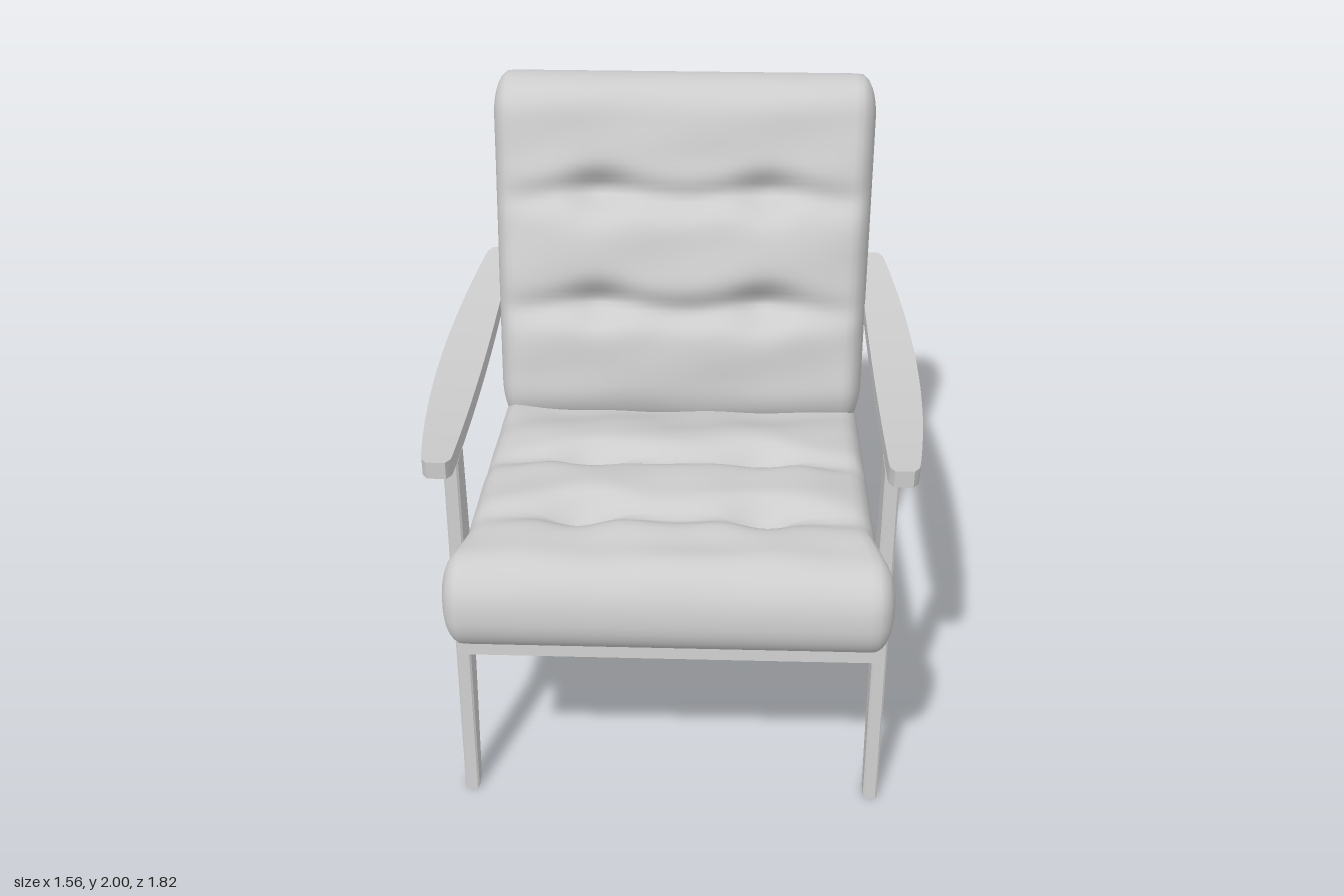
import * as THREE from 'three';
import { mergeVertices } from 'three/addons/utils/BufferGeometryUtils.js';

const grey = new THREE.MeshStandardMaterial({ color: 0xcccccc });
grey.name = 'plain grey';

const { clamp, smoothstep } = THREE.MathUtils;

function add(parent, name, geometry, x = 0, y = 0, z = 0, rx = 0) {
  const mesh = new THREE.Mesh(geometry, grey);
  mesh.name = name;
  mesh.position.set(x, y, z);
  mesh.rotation.x = rx;
  parent.add(mesh);
  return mesh;
}

const box = (w, h, d) => new THREE.BoxGeometry(w, h, d);

// Move every vertex of a geometry by a rule, then recompute its normals
function reshape(geometry, rule, smooth) {
  if (smooth) {
    geometry.deleteAttribute('uv');
    geometry.deleteAttribute('normal');
    geometry = mergeVertices(geometry);
  }
  const p = geometry.attributes.position, v = new THREE.Vector3();
  for (let i = 0; i < p.count; i++) {
    v.fromBufferAttribute(p, i);
    rule(v);
    p.setXYZ(i, v.x, v.y, v.z);
  }
  geometry.computeVertexNormals();
  return geometry;
}

// Stuffed cushion: rounded slab, +y is the soft face, creased and button-tufted along z.
// heel is the radius of the lower edge at the -z end.
function cushion({ width, thick, length, heel, creases, widthAt, bulge }) {
  const half = [width / 2, thick / 2, length / 2];
  const bell = (d, s) => Math.exp(-(d * d) / (s * s));
  return reshape(new THREE.BoxGeometry(width, thick, length, 52, 12, 56), (v) => {
    const q = v.toArray();
    const r = q[1] < 0 && q[2] < 0 ? heel : thick * 0.46;
    const radius = [0.06, r, r];
    const inner = q.map((c, i) => clamp(c, radius[i] - half[i], half[i] - radius[i]));
    const d = new THREE.Vector3(...q.map((c, i) => (c - inner[i]) / radius[i])).normalize();
    v.set(inner[0] + d.x * radius[0], inner[1] + d.y * radius[1], inner[2] + d.z * radius[2]);
    const face = smoothstep(v.y, 0, half[1]);
    const fade = 1 - Math.pow(Math.abs(v.x) / half[0], 4);
    let rise = bulge(v.z) * fade;
    for (const c of creases) {
      const curve = c + 0.015 * Math.cos(v.x * 11);
      rise -= fade * 0.045 * bell(v.z - curve, 0.05);
      for (const bx of [-0.28, 0.28]) rise -= 0.055 * bell(v.x - bx, 0.09) * bell(v.z - c, 0.07);
    }
    rise += 0.005 * Math.sin(v.x * 13 + v.z * 7) * Math.sin(v.z * 17 - v.x * 5);
    v.y += rise * face;
    v.x *= widthAt(v.z);
  }, true);
}

// Flat side piece cut from a board; the outline's first coordinate runs towards the back
function sideBoard(outline) {
  const g = new THREE.ExtrudeGeometry(outline, {
    depth: 0.034, curveSegments: 8, bevelEnabled: true,
    bevelThickness: 0.006, bevelSize: 0.006, bevelOffset: -0.006, bevelSegments: 1,
  });
  return g.translate(0, 0, -0.017).rotateY(Math.PI / 2);
}

// Front leg with the short lap that overlies the seat rail
function frontLegOutline() {
  const s = new THREE.Shape();
  s.moveTo(-0.65, 0);
  s.lineTo(-0.587, 0);
  s.lineTo(-0.52, 0.45);
  s.quadraticCurveTo(-0.5, 0.575, -0.37, 0.57);
  s.lineTo(-0.345, 0.69);
  s.quadraticCurveTo(-0.455, 0.72, -0.455, 0.82);
  s.lineTo(-0.46, 1.23);
  s.lineTo(-0.56, 1.23);
  s.lineTo(-0.6, 0.65);
  s.closePath();
  return s;
}

// Seat rail and back leg in one piece
function railAndBackLegOutline() {
  const s = new THREE.Shape();
  s.moveTo(-0.55, 0.59);
  s.lineTo(-0.4, 0.57);
  s.lineTo(0.6, 0.435);
  s.quadraticCurveTo(0.69, 0.42, 0.72, 0.33);
  s.lineTo(0.847, 0);
  s.lineTo(0.9, 0);
  s.lineTo(0.635, 1.23);
  s.lineTo(0.49, 1.23);
  s.lineTo(0.625, 0.7);
  s.quadraticCurveTo(0.64, 0.61, 0.57, 0.615);
  s.lineTo(-0.35, 0.695);
  s.lineTo(-0.55, 0.715);
  s.closePath();
  return s;
}

// Armrest: straight inside, bowed outside, dipping in the middle, rounded at both ends
function armrest() {
  return reshape(new THREE.BoxGeometry(1, 0.055, 1.495, 2, 1, 60), (v) => {
    const t = v.z / 0.7475;
    const tip = 0.014 * Math.pow(Math.max(0, Math.abs(t) - 0.95) / 0.05, 2);
    const inside = 0.636 + 0.02 * smoothstep(-t, 0.7, 1) + tip;
    const outside = 0.782 - 0.062 * t * t - tip;
    v.x = inside + (v.x + 0.5) * (outside - inside);
    v.y += 1.222 + 0.048 * t * t;
    v.z -= 0.07;
  });
}

export function createModel() {
  const chair = new THREE.Group();
  chair.name = 'armchair';

  // Wooden sides and arms
  for (const side of [1, -1]) {
    const label = side > 0 ? 'left' : 'right';
    add(chair, label + 'FrontLeg', sideBoard(frontLegOutline()), side * 0.658);
    add(chair, label + 'RailAndBackLeg', sideBoard(railAndBackLegOutline()), side * 0.613);
    add(chair, label + 'Armrest', armrest()).scale.x = side;
  }

  // Cross rails
  const frontRail = reshape(new THREE.BoxGeometry(1.27, 0.11, 0.045, 20, 1, 1), (v) => {
    if (v.y < 0) v.y -= 0.012 * Math.cos(v.x * 2.5);
  });
  add(chair, 'frontRail', frontRail, 0, 0.588, 0.515);
  add(chair, 'backStretcher', box(1.2, 0.1, 0.045), 0, 0.46, -0.68, 0.2);
  add(chair, 'rearSeatRail', box(1.2, 0.075, 0.05), 0, 0.6, -0.55, -0.1);

  // Seat panel, sagging a little underneath, and cushion
  const panel = reshape(new THREE.BoxGeometry(1.26, 0.05, 1.3, 16, 1, 16), (v) => {
    if (v.y < 0) v.y -= 0.045 * Math.cos(v.x * 2.4) * Math.cos(v.z * 2.4);
  });
  add(chair, 'seatPanel', panel, 0, 0.668, 0.17, -0.1);
  add(chair, 'seatCushion', cushion({
    width: 1.28, thick: 0.3, length: 1.4, heel: 0.07, creases: [0.34, -0.03],
    widthAt: (z) => 0.985 + 0.06 * smoothstep(z, 0.38, 0.6),
    bulge: (z) => 0.045 - 0.035 * smoothstep(z, 0.3, 0.55) - 0.06 * smoothstep(-z, 0.15, 0.5),
  }), 0, 0.842, 0.21, -0.1);

  // Back cushion, leaning
  add(chair, 'backCushion', cushion({
    width: 1.28, thick: 0.33, length: 1.22, heel: 0.13, creases: [-0.2, 0.18],
    widthAt: (z) => 1.01 - 0.035 * z,
    bulge: (z) => 0.025 + 0.04 * smoothstep(z, -0.35, -0.05) - 0.04 * smoothstep(z, 0.25, 0.55),
  }), 0, 1.405, -0.588, Math.PI / 2 - 0.335);

  // Leaning back frame with woven webbing
  const back = new THREE.Group();
  back.name = 'backFrame';
  back.position.set(0, 1.215, -0.69);
  back.rotation.x = -0.32;
  chair.add(back);
  for (const side of [1, -1]) {
    add(back, side > 0 ? 'leftBackPost' : 'rightBackPost', box(0.045, 1.18, 0.05), side * 0.608, 0, -0.01);
  }
  add(back, 'backTopRail', box(1.2, 0.06, 0.04), 0, 0.545, -0.005);
  add(back, 'backBottomRail', box(1.2, 0.1, 0.04), 0, -0.47, 0);

  const cols = 5, rows = 6, colStep = 0.232, rowStep = 0.165, lowest = -0.335;
  const bow = (x) => 0.02 * (1 - (x * x) / 0.36);
  for (let c = 0; c < cols; c++) {
    const x = (c - 2) * colStep;
    const strap = reshape(new THREE.BoxGeometry(0.195, 1.05, 0.012, 1, 48, 1), (v) => {
      const row = (v.y + 0.05 - lowest) / rowStep;
      v.z += 0.01 * Math.cos(Math.PI * (row + c)) - bow(x);
    });
    add(back, 'verticalStrap', strap, x, 0.05, -0.018);
  }
  for (let r = 0; r < rows; r++) {
    const strap = reshape(new THREE.BoxGeometry(1.19, 0.145, 0.012, 48, 1, 1), (v) => {
      v.z -= 0.01 * Math.cos(Math.PI * (v.x / colStep + 2 + r)) + bow(v.x);
    });
    add(back, 'horizontalStrap', strap, 0, lowest + r * rowStep, -0.018);
  }
  return chair;
}
